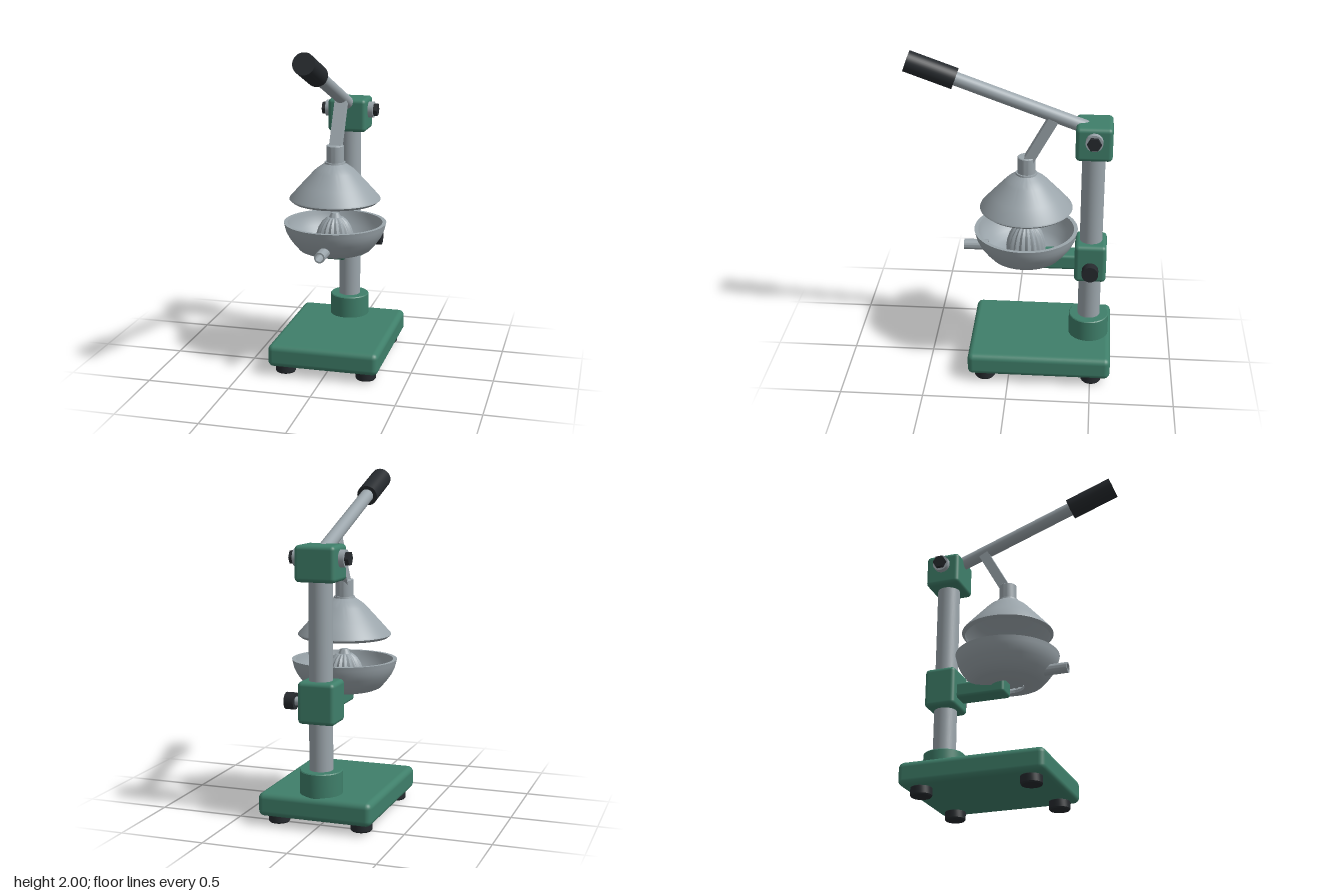
import * as THREE from 'three';
import { RoundedBoxGeometry } from 'three/addons/geometries/RoundedBoxGeometry.js';
import { toCreasedNormals } from 'three/addons/utils/BufferGeometryUtils.js';

const mat = (color) => new THREE.MeshStandardMaterial({ color });

export function createModel() {
  const model = new THREE.Group();
  const green = mat(0x3f7f6a), steel = mat(0x9ba5ab), dark = mat(0x262a2e);
  const COLUMN_Z = -0.48, BOWL_Z = -0.088;

  const add = (name, geometry, material, x = 0, y = 0, z = 0) => {
    const mesh = new THREE.Mesh(geometry, material);
    mesh.name = name;
    mesh.position.set(x, y, z);
    model.add(mesh);
    return mesh;
  };
  const block = (name, w, h, d, r, y, z) =>
    add(name, new RoundedBoxGeometry(w, h, d, 3, r), green, 0, y, z);
  const lathe = (name, profile, material, x, y, z, segments = 64) => {
    const points = profile.map(([r, h]) => new THREE.Vector2(r, h));
    return add(name, toCreasedNormals(new THREE.LatheGeometry(points, segments), 0.55), material, x, y, z);
  };
  // Cylinder lying along x, between two x positions
  const pinX = (name, x0, x1, r, material, y, z, sides = 32) => {
    const g = new THREE.CylinderGeometry(r, r, Math.abs(x1 - x0), sides).rotateZ(Math.PI / 2);
    return add(name, sides < 10 ? toCreasedNormals(g, 0.5) : g, material, (x0 + x1) / 2, y, z);
  };
  // Geometry running along y, laid between two points in the x = 0 plane
  const between = (name, make, material, [y0, z0], [y1, z1]) => {
    const length = Math.hypot(y1 - y0, z1 - z0);
    const mesh = add(name, make(length), material, 0, (y0 + y1) / 2, (z0 + z1) / 2);
    mesh.rotation.x = Math.atan2(z1 - z0, y1 - y0);
    return mesh;
  };

  // Base with four feet
  block('base', 0.68, 0.138, 0.865, 0.035, 0.121, -0.187);
  for (const x of [-0.25, 0.25]) for (const z of [0.145, -0.505])
    lathe('foot', [[0, 0], [0.056, 0], [0.062, 0.008], [0.062, 0.05], [0.056, 0.058], [0, 0.058]], dark, x, 0, z, 32);

  // Column, its socket and the two blocks on it
  lathe('columnSocket', [[0, 0], [0.122, 0], [0.122, 0.14], [0.117, 0.145], [0, 0.145]], green, 0, 0.18, COLUMN_Z);
  add('column', new THREE.CylinderGeometry(0.068, 0.068, 1.25, 48), steel, 0, 0.875, COLUMN_Z);
  block('pivotBlock', 0.24, 0.205, 0.213, 0.025, 1.502, COLUMN_Z);
  block('bowlClamp', 0.22, 0.242, 0.19, 0.025, 0.72, COLUMN_Z);
  block('bowlArm', 0.125, 0.096, 0.34, 0.018, 0.703, -0.26);

  // Pivot bolt: washer and hexagonal head on both sides
  for (const s of [-1, 1]) {
    pinX('pivotWasher', s * 0.11, s * 0.152, 0.05, steel, 1.53, COLUMN_Z);
    pinX('pivotBoltHead', s * 0.145, s * 0.176, 0.041, dark, 1.53, COLUMN_Z, 6);
  }

  // Clamp screw on the left side
  pinX('clampScrew', 0.1, 0.16, 0.025, steel, 0.71, COLUMN_Z);
  pinX('clampKnob', 0.153, 0.21, 0.049, dark, 0.71, COLUMN_Z);

  // Juice bowl, open below, with a hollow spout
  lathe('bowl', [
    [0.1, 0.704], [0.15, 0.711], [0.19, 0.721], [0.217, 0.733], [0.25, 0.77], [0.28, 0.812],
    [0.298, 0.848], [0.305, 0.875], [0.311, 0.9], [0.288, 0.9], [0.283, 0.877], [0.275, 0.85],
    [0.258, 0.815], [0.23, 0.776], [0.203, 0.746], [0.15, 0.729], [0.1, 0.722], [0.1, 0.704],
  ], steel, 0, 0, BOWL_Z, 80);
  lathe('spout', [[0.023, 0], [0.032, 0], [0.032, 0.145], [0.023, 0.145], [0.023, 0]], steel, 0, 0.777, 0.142, 32)
    .rotation.x = Math.PI / 2;

  // Ribbed reamer: a dome whose radius ripples around the axis
  const dome = [[0, 0.738], [0.112, 0.738], [0.114, 0.78], [0.108, 0.825], [0.094, 0.87],
    [0.073, 0.905], [0.048, 0.928], [0, 0.936]].map(([r, y]) => new THREE.Vector2(r, y));
  const ribbed = new THREE.LatheGeometry(dome, 144);
  const p = ribbed.attributes.position;
  for (let i = 0; i < p.count; i++) {
    const k = 1 + 0.055 * Math.cos(18 * Math.atan2(p.getX(i), p.getZ(i)));
    p.setXYZ(i, p.getX(i) * k, p.getY(i), p.getZ(i) * k);
  }
  add('reamer', toCreasedNormals(ribbed, 0.6), steel, 0, 0, BOWL_Z);
  lathe('reamerTip', [[0.042, 0.92], [0.022, 0.957], [0, 0.957]], steel, 0, 0, BOWL_Z, 32);

  // Hollow pressing cone with its collar
  lathe('pressCone', [
    [0.257, 1.03], [0.276, 1.046], [0.272, 1.055], [0.205, 1.13], [0.13, 1.212], [0.112, 1.229], [0.09, 1.245],
    [0.064, 1.262], [0.062, 1.272], [0, 1.272], [0, 1.24], [0.055, 1.24], [0.075, 1.228],
    [0.115, 1.195], [0.19, 1.115], [0.25, 1.05], [0.257, 1.03],
  ], steel, 0, 0, BOWL_Z, 80);
  lathe('coneCollar', [[0, 0], [0.053, 0], [0.053, 0.1], [0.049, 0.104], [0, 0.104]], steel, 0, 1.268, BOWL_Z, 40);

  // Link, lever and grip
  between('link', (l) => new THREE.BoxGeometry(0.07, l, 0.06), steel, [1.335, -0.09], [1.612, -0.242]);
  between('lever', (l) => new THREE.CylinderGeometry(0.04, 0.04, l, 32), steel, [1.55, -0.48], [1.86, 0.37]);
  between('grip', (l) => new THREE.CylinderGeometry(0.063, 0.063, l, 40), dark, [1.841, 0.322], [1.941, 0.598]);

  return model;
}
